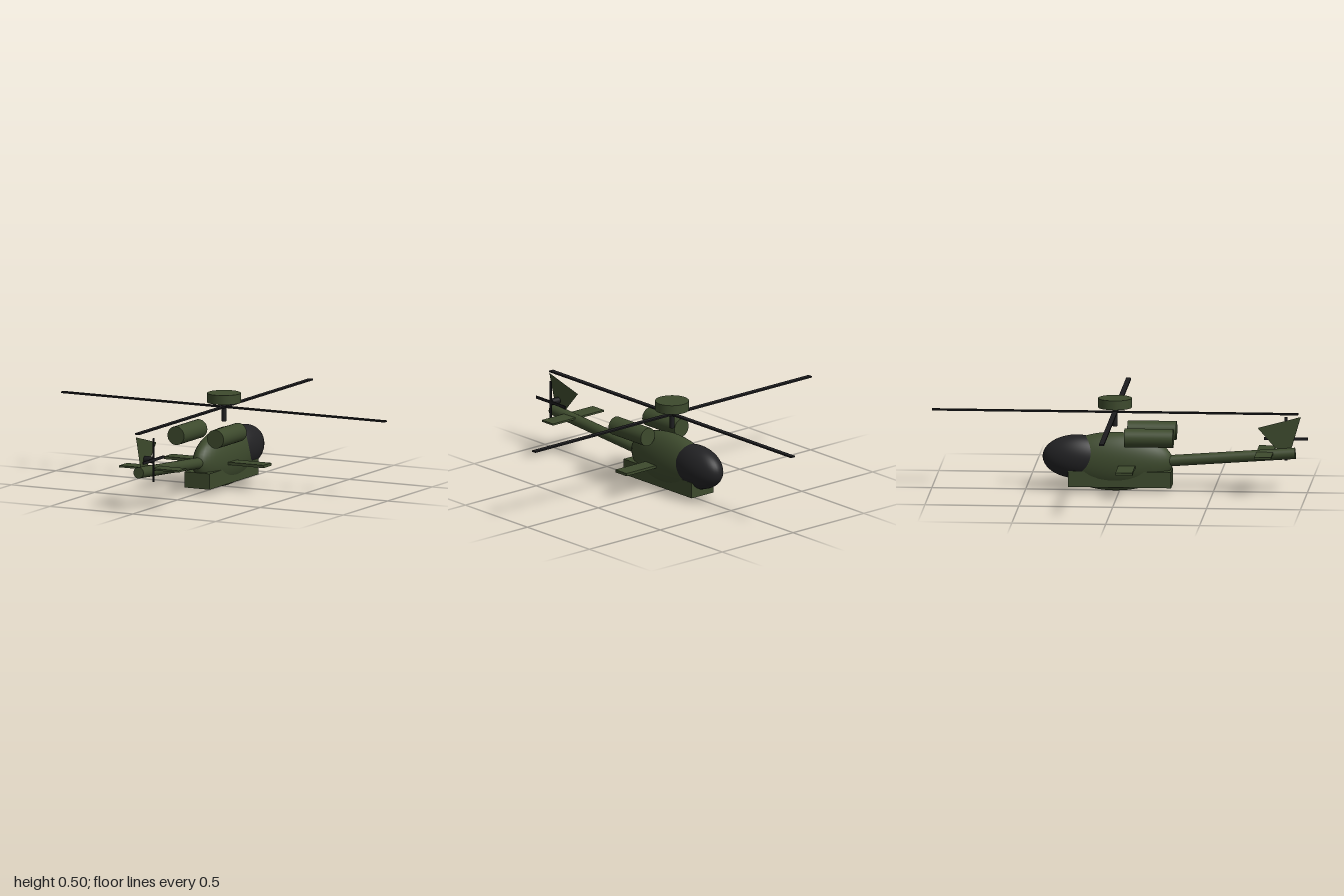
import * as THREE from 'three';

const mat = (name, color, side = THREE.FrontSide) => {
  const m = new THREE.MeshStandardMaterial({ color, side });
  m.name = name;
  return m;
};

export function createModel() {
  const olive = mat('olive green', 0x3d4a2d, THREE.DoubleSide);
  const black = mat('rotor black', 0x1c1c1e);
  const glass = mat('dark canopy', 0x222224);
  const model = new THREE.Group();
  model.name = 'helicopter';

  const add = (name, geo, material, x, y, z, parent = model) => {
    const mesh = new THREE.Mesh(geo, material);
    mesh.name = name;
    mesh.position.set(x, y, z);
    parent.add(mesh);
    return mesh;
  };
  const box = (w, h, d) => new THREE.BoxGeometry(w, h, d);
  const rod = (r, len) => new THREE.CylinderGeometry(r, r, len, 32);
  const ellipsoid = (rx, ry, rz) => new THREE.SphereGeometry(1, 40, 28).scale(rx, ry, rz);

  // Fuselage, canopy at the nose (-z) and belly box
  add('fuselage', ellipsoid(0.094, 0.157, 0.31), olive, 0, 0.159, -0.025);
  add('canopy', ellipsoid(0.092, 0.117, 0.185), glass, 0, 0.182, -0.225);
  add('belly', box(0.152, 0.085, 0.55), olive, 0, 0.0725, 0.005);

  // Stub wings and engine pods
  add('stubWings', box(0.6, 0.015, 0.09), olive, 0, 0.143, 0.045);
  for (const s of [-1, 1]) {
    add('enginePod', rod(0.05, 0.26).rotateX(Math.PI / 2), olive, s * 0.119, 0.307, 0.165);
  }

  // Tail boom, rising slightly toward the rear
  const start = new THREE.Vector3(0, 0.16, 0.2), end = new THREE.Vector3(0, 0.214, 0.936);
  const dir = end.clone().sub(start);
  const boom = add('tailBoom', rod(0.03, dir.length()), olive, 0, 0, 0);
  boom.position.copy(start).add(end).multiplyScalar(0.5);
  boom.quaternion.setFromUnitVectors(new THREE.Vector3(0, 1, 0), dir.normalize());

  // Tailplane and thin fin (outline drawn as z, y)
  add('tailplane', box(0.36, 0.01, 0.09), olive, 0, 0.217, 0.775);
  const outline = [[0.965, 0.41], [0.735, 0.348], [0.83, 0.24], [0.91, 0.22]];
  const fin = new THREE.Shape(outline.map(([z, y]) => new THREE.Vector2(-z, y)));
  add('tailFin', new THREE.ShapeGeometry(fin).rotateY(Math.PI / 2), olive, 0, 0, 0);

  // Main rotor
  const rotor = new THREE.Group();
  rotor.name = 'mainRotor';
  rotor.position.z = -0.024;
  model.add(rotor);
  add('mast', rod(0.0125, 0.092), black, 0, 0.394, 0, rotor);
  add('sensorDisc', rod(0.09, 0.05), olive, 0, 0.475, 0, rotor);
  add('bladesAcross', box(1.95, 0.008, 0.027), black, 0, 0.425, 0, rotor);
  add('bladesAlong', box(0.027, 0.008, 1.95), black, 0, 0.425, 0, rotor);

  // Tail rotor on the +x side
  const tail = new THREE.Group();
  tail.name = 'tailRotor';
  tail.position.set(0.062, 0.28, 0.882);
  model.add(tail);
  add('tailHub', rod(0.018, 0.05).rotateZ(Math.PI / 2), black, -0.027, 0, 0, tail);
  add('tailBladeUpright', box(0.006, 0.235, 0.015), black, 0, 0, 0, tail);
  add('tailBladeLevel', box(0.006, 0.015, 0.235), black, 0, 0, 0, tail);

  return model;
}
